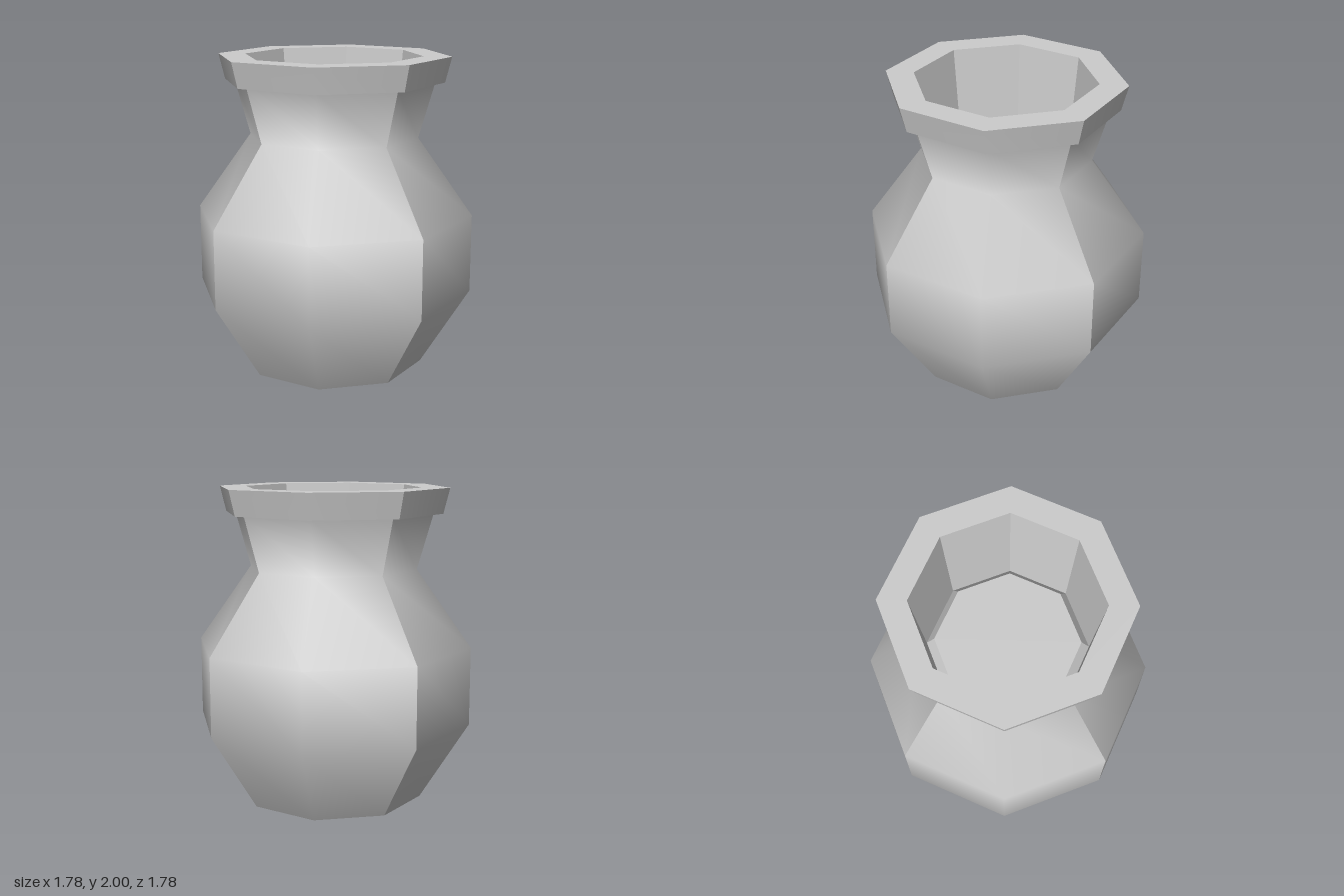
import * as THREE from 'three';

const SIDES = 8;
const material = new THREE.MeshStandardMaterial({ color: 0xcccccc, side: THREE.DoubleSide });
const flatMaterial = new THREE.MeshStandardMaterial({ color: 0xcccccc, side: THREE.DoubleSide, flatShading: true });

const toPoints = (pairs) => pairs.map(([r, y]) => new THREE.Vector2(r, y));

function mesh(name, geometry, mat = material) {
  const m = new THREE.Mesh(geometry, mat);
  m.name = name;
  return m;
}

// Four panels of two facets each: smooth within a panel, creased on the diagonals
function panels(name, profile) {
  const group = new THREE.Group();
  group.name = name;
  for (let i = 0; i < 4; i++) {
    const g = new THREE.LatheGeometry(toPoints(profile), 2, Math.PI / 4 + i * Math.PI / 2, Math.PI / 2);
    g.deleteAttribute('normal');
    g.computeVertexNormals();
    group.add(mesh(name + 'Panel', g));
  }
  return group;
}

// Faceted octagonal surface
function faceted(name, profile) {
  return mesh(name, new THREE.LatheGeometry(toPoints(profile), SIDES), flatMaterial);
}

// Horizontal octagonal disc
function disc(name, radius, y, up) {
  const g = new THREE.CircleGeometry(radius, SIDES);
  g.rotateX(up ? -Math.PI / 2 : Math.PI / 2);
  g.translate(0, y, 0);
  return mesh(name, g);
}

export function createModel() {
  const vase = new THREE.Group();
  vase.name = 'vase';

  // Outer shell: base, belly, neck
  vase.add(panels('body', [[0.58, 0], [0.89, 0.5], [0.89, 1], [0.54, 1.49], [0.64, 1.84]]));
  vase.add(disc('base', 0.58, 0, false));

  // Flared rim band with its underside and flat lip
  vase.add(faceted('rimUnderside', [[0.63, 1.84], [0.7, 1.84]]));
  vase.add(panels('rim', [[0.7, 1.84], [0.74, 2]]));
  vase.add(faceted('lip', [[0.74, 2], [0.565, 2]]));

  // Inside of the neck, narrowing down to a slightly raised floor
  vase.add(faceted('innerWall', [[0.565, 2], [0.5, 1.35]]));
  vase.add(faceted('floorBevel', [[0.5, 1.35], [0.45, 1.42]]));
  vase.add(disc('floor', 0.45, 1.42, true));

  return vase;
}
